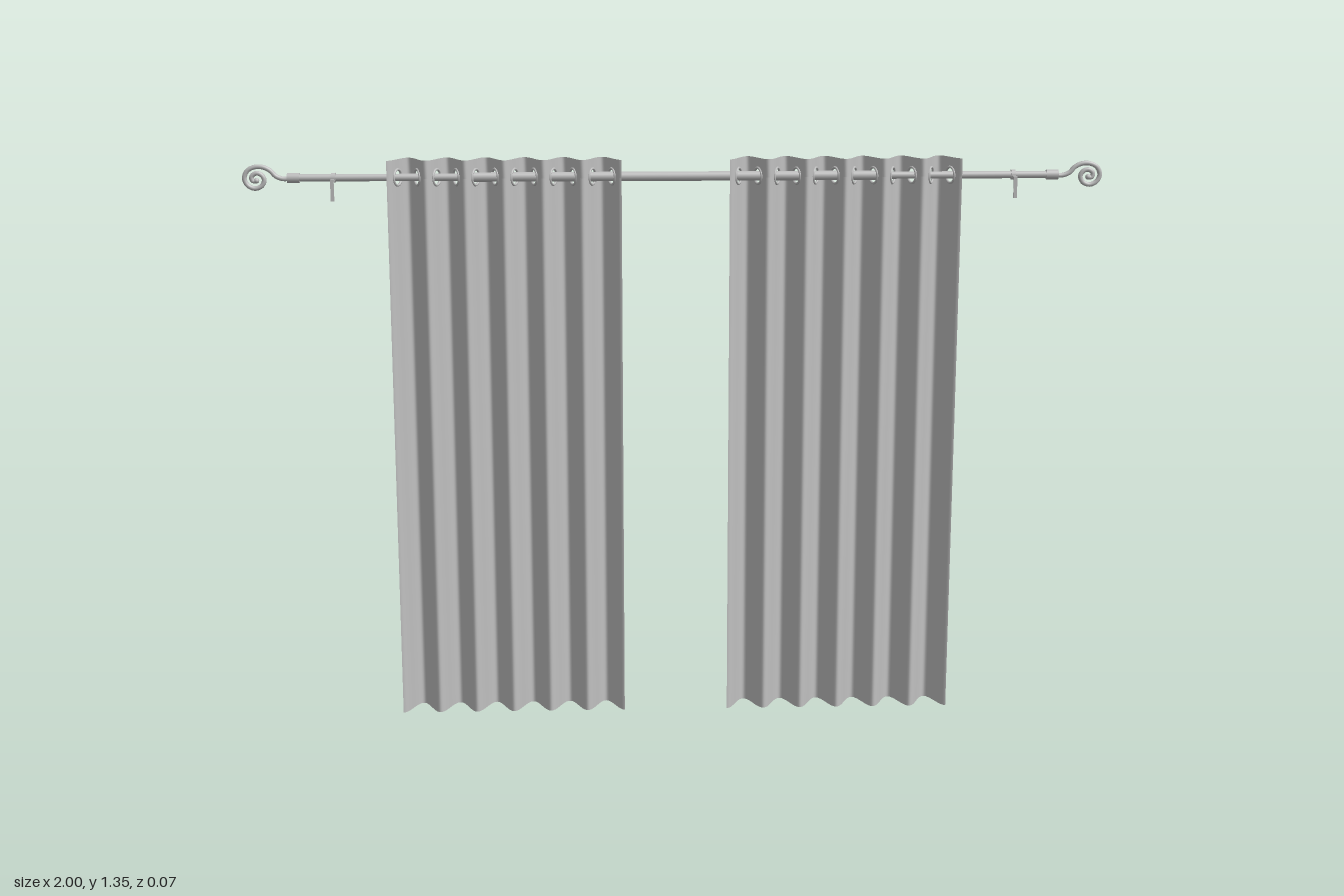
import * as THREE from 'three';

const ROD_Y = 1.303, TOP = 1.345;
const PERIOD = 0.09, FOLDS = 6, DEPTH = 0.033;
const HOLE = 0.0165;

export function createModel() {
  const fabric = new THREE.MeshStandardMaterial({ color: 0xc0c0c0, side: THREE.DoubleSide });
  fabric.name = 'fabric';
  const metal = new THREE.MeshStandardMaterial({ color: 0xbcbcbc });
  metal.name = 'metal';

  const model = new THREE.Group();
  model.name = 'curtainSet';

  const add = (parent, name, geometry, material, x = 0, y = 0, z = 0) => {
    const mesh = new THREE.Mesh(geometry, material);
    mesh.name = name;
    mesh.position.set(x, y, z);
    parent.add(mesh);
    return mesh;
  };
  const bar = (name, x, length, radius) => {
    add(model, name, new THREE.CylinderGeometry(radius, radius, length, 20), metal, x, ROD_Y).rotation.z = Math.PI / 2;
  };

  // Pleated cloth: one strip below and one above the row of round holes
  const k = (2 * Math.PI) / PERIOD;
  const stretch = Math.hypot(1, DEPTH * k);
  const holeX = HOLE / stretch;
  const columns = [];
  for (let h = 0; h < FOLDS * 2; h++) {
    const centre = (h + 0.5) * PERIOD / 2;
    const offsets = [-PERIOD / 4, -0.019, -0.0155, -0.012, -0.009];
    for (let i = 0; i <= 12; i++) offsets.push(-holeX * Math.cos(Math.PI * i / 12));
    offsets.push(0.009, 0.012, 0.0155, 0.019);
    for (const d of offsets) {
      const r = d * stretch;
      columns.push([centre + d, Math.sqrt(Math.max(0, HOLE * HOLE - r * r))]);
    }
  }
  columns.push([FOLDS * PERIOD, 0]);

  function clothStrip(upper) {
    const positions = [], index = [];
    columns.forEach(([x, gap], i) => {
      const z = DEPTH * Math.cos(k * x);
      const px = x - FOLDS * PERIOD / 2;
      positions.push(px, upper ? ROD_Y + gap : 0, z, px, upper ? TOP : ROD_Y - gap, z);
      if (i > 0) {
        const a = 2 * i - 2;
        index.push(a, a + 2, a + 1, a + 1, a + 2, a + 3);
      }
    });
    const g = new THREE.BufferGeometry();
    g.setAttribute('position', new THREE.Float32BufferAttribute(positions, 3));
    g.setIndex(index);
    g.computeVertexNormals();
    return g;
  }

  for (const side of [-1, 1]) {
    const panel = new THREE.Group();
    panel.name = side > 0 ? 'leftCurtain' : 'rightCurtain';
    panel.position.x = side * 0.395;
    model.add(panel);
    add(panel, 'curtainCloth', clothStrip(false), fabric);
    add(panel, 'curtainHeading', clothStrip(true), fabric);

    // Eyelets follow the slope of the cloth at each hole
    for (let h = 0; h < FOLDS * 2; h++) {
      const x = (h + 0.5) * PERIOD / 2;
      const slope = -DEPTH * k * Math.sin(k * x);
      const ring = add(panel, 'eyelet', new THREE.TorusGeometry(0.0185, 0.003, 8, 24), metal,
        x - FOLDS * PERIOD / 2, ROD_Y);
      ring.rotation.y = Math.atan2(-slope, 1);
    }
  }

  // Telescoping rod
  bar('outerRod', 0, 0.96, 0.011);
  for (const s of [-1, 1]) {
    bar('innerRod', s * 0.67, 0.44, 0.0085);
    bar('collar', s * 0.882, 0.028, 0.0115);

    // Scroll finial
    const points = [[0.88, 1.303], [0.905, 1.301], [0.922, 1.307], [0.936, 1.321], [0.953, 1.3285],
      [0.972, 1.328], [0.988, 1.319], [0.9945, 1.302], [0.987, 1.286], [0.971, 1.279], [0.955, 1.285],
      [0.949, 1.299], [0.956, 1.311], [0.968, 1.314], [0.978, 1.306], [0.975, 1.296], [0.967, 1.297]];
    const path = new THREE.CatmullRomCurve3(points.map(([x, y]) => new THREE.Vector3(s * x, y, 0)));
    add(model, 'finialScroll', new THREE.TubeGeometry(path, 90, 0.0055, 10), metal);
    add(model, 'finialTip', new THREE.SphereGeometry(0.0065, 12, 8), metal, s * 0.967, 1.297);

    // Hook bracket
    const bracket = new THREE.Group();
    bracket.name = 'bracket';
    bracket.position.set(s * 0.79, ROD_Y, 0);
    model.add(bracket);
    add(bracket, 'bracketRing', new THREE.CylinderGeometry(0.0115, 0.0115, 0.01, 16), metal).rotation.z = Math.PI / 2;
    add(bracket, 'bracketArm', new THREE.BoxGeometry(0.008, 0.006, 0.036), metal, 0, -0.004, 0.018);
    add(bracket, 'bracketPlate', new THREE.BoxGeometry(0.008, 0.05, 0.004), metal, 0, -0.025, 0.034);
  }
  return model;
}
